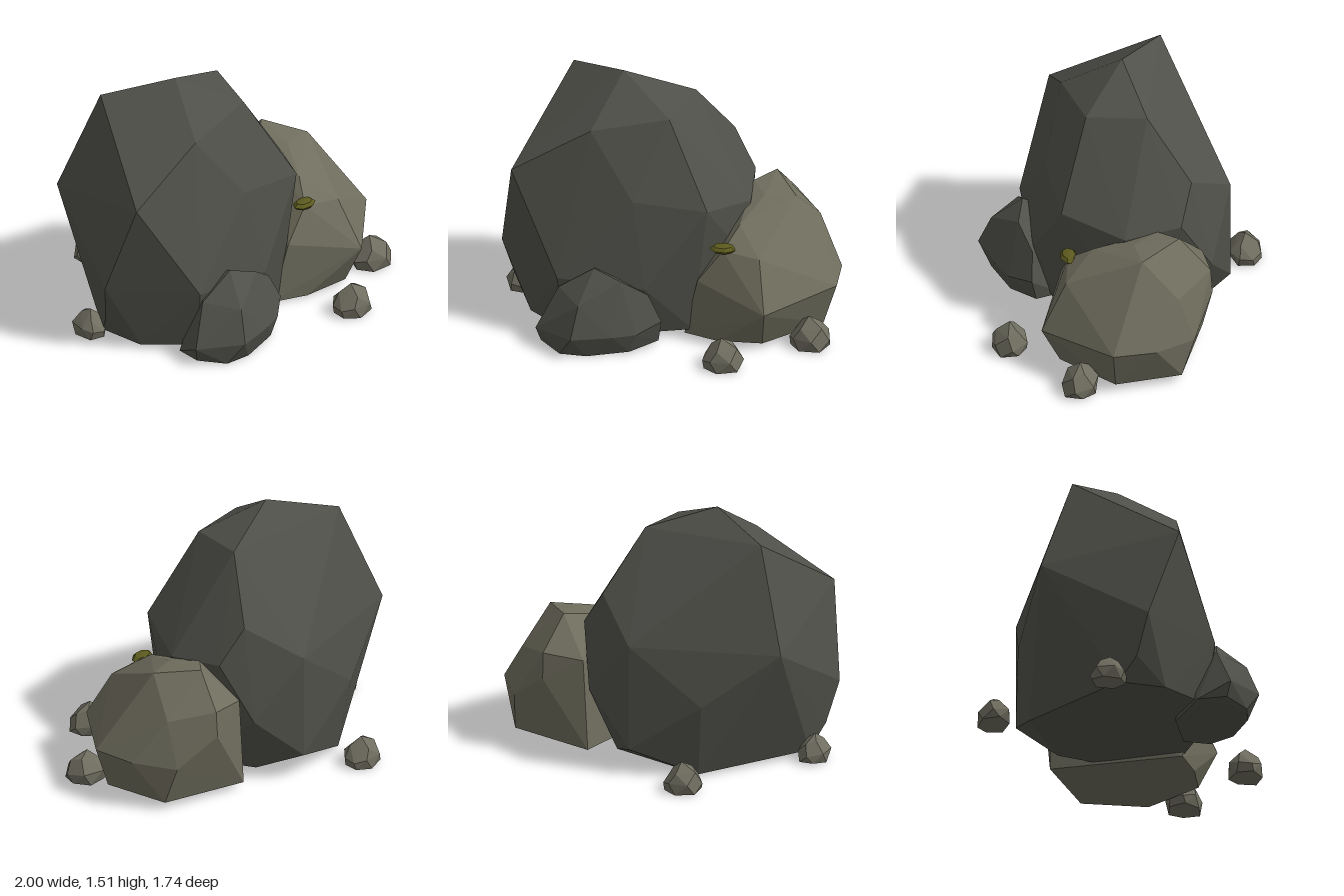
import * as THREE from 'three';
import { ConvexGeometry } from 'three/addons/geometries/ConvexGeometry.js';

const stone = (color) => new THREE.MeshStandardMaterial({ color, flatShading: true });

// A faceted rock: the convex hull of a few corner points
function rock(name, corners, material) {
  const geometry = new ConvexGeometry(corners.map((c) => new THREE.Vector3(...c)));
  const mesh = new THREE.Mesh(geometry, material);
  mesh.name = name;
  return mesh;
}

export function createModel() {
  const group = new THREE.Group();
  group.name = 'rockCluster';
  const dark = stone(0x50504a);
  const tan = stone(0x706e5e);
  const pebbleStone = stone(0x706e60);
  const moss = stone(0x5c5a1e);

  // Tall main boulder
  group.add(rock('mainBoulder', [
    // crown
    [-0.29, 1.51, -0.05], [-0.61, 1.41, -0.35], [0.13, 1.37, -0.11],
    [-0.46, 1.27, 0.28], [0, 1.34, 0.23],
    // shoulders
    [-0.93, 0.98, 0.25], [-0.2, 0.89, 0.435], [0.24, 0.84, 0.43], [0.47, 0.76, 0.1],
    [0.34, 1.02, -0.33], [0.47, 0.8, -0.24], [0.13, 0.81, -0.61], [-0.77, 0.8, -0.55],
    // waist
    [-1, 0.42, 0.06], [-0.64, 0.4, 0.49], [-0.12, 0.36, 0.52],
    [0.45, 0.4, 0.14], [0.4, 0.45, -0.44], [-0.31, 0.47, -0.64],
    // foot
    [0.13, 0.16, -0.61], [-0.28, 0.02, -0.57], [-0.93, 0.17, 0], [-0.85, 0.03, -0.1],
    [-0.82, 0.02, 0.18], [-0.6, 0.03, 0.43], [-0.1, 0.04, 0.44], [0.15, 0.04, 0.38],
    [0.4, 0.05, 0.1], [0.25, 0.05, -0.35],
  ], dark));

  // Lighter boulder leaning on its left side
  group.add(rock('sideBoulder', [
    // crown
    [0.6, 0.82, -0.2], [0.73, 0.78, 0.05], [0.55, 0.78, 0.06], [0.47, 0.79, -0.1],
    // shoulders
    [0.45, 0.6, -0.37], [0.69, 0.63, -0.37], [0.86, 0.57, -0.14],
    [0.42, 0.69, 0.28], [0.55, 0.56, 0.47], [0.33, 0.58, 0.41], [0.18, 0.38, 0.42],
    // waist
    [1, 0.31, 0.02], [0.99, 0.31, 0.28], [0.59, 0.27, 0.625],
    [0.89, 0.29, -0.23], [0.69, 0.47, -0.38],
    // foot
    [0.91, 0.05, 0.25], [0.9, 0.05, -0.15], [0.42, 0.04, -0.38],
    [0.57, 0.03, 0.51], [0.3, 0.01, 0.46], [0.1, 0.01, 0.37],
  ], tan));

  // Low rock in front of the main boulder
  group.add(rock('frontRock', [
    [-0.42, 0.49, 0.52], [-0.26, 0.44, 0.58], [-0.63, 0.35, 0.5], [-0.1, 0.33, 0.53],
    [-0.76, 0.11, 0.57], [-0.54, 0.13, 0.76], [-0.5, 0.32, 0.69], [-0.3, 0.13, 0.71],
    [-0.16, 0.13, 0.66], [-0.02, 0.17, 0.55], [-0.04, 0.03, 0.52],
    [-0.73, 0.02, 0.55], [-0.61, 0, 0.68], [-0.45, 0, 0.7], [-0.2, 0.01, 0.64],
    [-0.7, 0.01, 0.38], [-0.4, 0, 0.28], [-0.08, 0.02, 0.36], [-0.4, 0.4, 0.3],
  ], dark));

  // Pebbles share one squat shape, turned and scaled to differ
  const pebbleCorners = [
    [-0.01, 0.188, 0], [0.05, 0.155, -0.03],
    [0.085, 0.135, 0.03], [-0.03, 0.13, 0.075], [-0.07, 0.135, -0.04],
    [-0.12, 0.05, 0.03], [-0.07, 0.07, 0.09], [0.05, 0.07, 0.1],
    [0.125, 0.06, 0.01], [0.075, 0.08, -0.09], [-0.05, 0.08, -0.1], [-0.11, 0.06, -0.05],
    [-0.11, 0.005, 0.04], [-0.03, 0, 0.1], [0.09, 0.005, 0.075],
    [0.11, 0.015, -0.03], [0.03, 0.005, -0.095], [-0.09, 0, -0.06],
  ];
  const pebbles = [ // x, z, turn, scale
    [0.36, 0.765, 0, 1],
    [0.85, 0.45, -0.35, 1.02],
    [-0.23, -0.775, 3.1, 0.95],
    [-0.895, -0.165, 1.4, 0.88],
  ];
  pebbles.forEach(([x, z, turn, size], i) => {
    const pebble = rock('pebble' + (i + 1), pebbleCorners, pebbleStone);
    pebble.position.set(x, 0, z);
    pebble.rotation.y = turn;
    pebble.scale.setScalar(size);
    group.add(pebble);
  });

  // Flat tuft of moss in the gap between the boulders
  const tuft = new THREE.Mesh(new THREE.SphereGeometry(1, 7, 4), moss);
  tuft.name = 'mossPatch';
  tuft.scale.set(0.08, 0.027, 0.055);
  tuft.position.set(0.33, 0.592, 0.405);
  group.add(tuft);

  return group;
}
